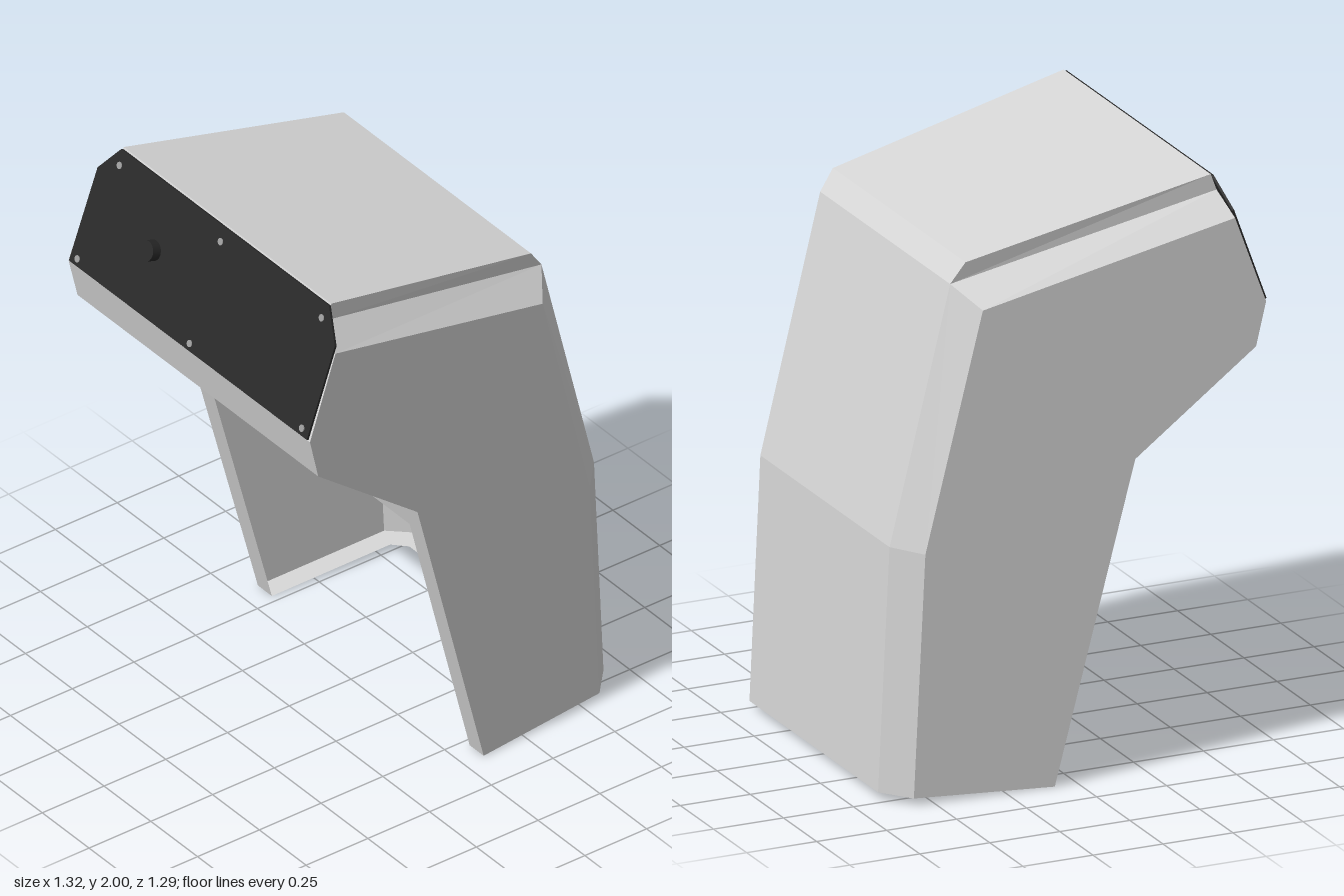
import * as THREE from 'three';

const shellGrey = new THREE.MeshStandardMaterial({ color: 0xd6d6d6, side: THREE.DoubleSide });
shellGrey.name = 'shell grey';
const panelBlack = new THREE.MeshStandardMaterial({ color: 0x282828 });
panelBlack.name = 'panel black';
const screwGrey = new THREE.MeshStandardMaterial({ color: 0x9c9c9c });
screwGrey.name = 'screw grey';

// The side walls taper towards +x
const sideZ = (x) => 0.608 - 0.057 * x;
const onSide = ([x, y], inset = 0) => [x, y, sideZ(x) - inset];
const flip = ([x, y, z]) => [x, y, -z];
const mirror = (poly) => poly.map(flip).reverse();
const band = (p, q) => [p, q, flip(q), flip(p)];
const pairs = (list, fn) => list.slice(1).map((q, i) => fn(list[i], q, i));
const bothSides = (polys) => polys.flatMap((p) => [p, mirror(p)]);

// Flat-shaded sheet from convex polygons
function facets(name, polys) {
  const pos = [];
  for (const p of polys) {
    for (let i = 1; i < p.length - 1; i++) pos.push(...p[0], ...p[i], ...p[i + 1]);
  }
  const g = new THREE.BufferGeometry();
  g.setAttribute('position', new THREE.Float32BufferAttribute(pos, 3));
  g.computeVertexNormals();
  const m = new THREE.Mesh(g, shellGrey);
  m.name = name;
  return m;
}

// Side wall: a 2D outline laid on the tapered side plane
function wall(name, outline, sign) {
  const g = new THREE.ShapeGeometry(new THREE.Shape(outline.map(([x, y]) => new THREE.Vector2(x, y))));
  const p = g.attributes.position;
  for (let i = 0; i < p.count; i++) p.setZ(i, sign * sideZ(p.getX(i)));
  if (sign < 0) g.index.array.reverse();
  g.computeVertexNormals();
  const m = new THREE.Mesh(g, shellGrey);
  m.name = name;
  return m;
}

export function createModel() {
  const model = new THREE.Group();

  // Cover ridge, and the upper edge of the side walls
  const spine = [[-0.5, 2, 0.555], [0.35, 1.81, 0.5], [0.4, 1.74, 0.49], [0.615, 0.87, 0.487], [0.655, 0.035, 0.485]];
  const shoulder = [[-0.52, 1.945, 0.557], ...spine.slice(2)];
  const edge2 = [[-0.547, 1.87], [0.33, 1.67], [0.53, 0.86], [0.57, 0.03]];
  const edge = edge2.map((p) => onSide(p));
  const foot = [0.08, 0.005], lip = [-0.174, 0.99], knee = [-0.2, 1.09], chin = [-0.62, 1.42], brow = [-0.655, 1.57];

  // Folded sheet-metal cover
  model.add(facets('coverPanels', pairs(spine, band)));
  model.add(facets('topStepWalls', bothSides([[shoulder[0], spine[2], spine[1], spine[0]]])));
  model.add(facets('coverChamfers', bothSides(
    pairs(edge, (a, b, i) => [a, b, shoulder[i + 1], shoulder[i]]))));

  const outline = [...edge2, foot, lip, knee, chin, brow];
  model.add(wall('leftSideWall', outline, 1));
  model.add(wall('rightSideWall', outline, -1));

  // Underside of the head, folded down into a short lip
  const under = [lip, knee, chin, brow].map((p) => onSide(p));
  model.add(facets('headUnderside', pairs(under, band)));

  // Backing behind the panel
  const browP = onSide(brow);
  const backHalf = [browP, edge[0], shoulder[0], spine[0]];
  model.add(facets('panelBacking', [[...backHalf, ...mirror(backHalf)]]));

  // Flanges turned inwards round the base and up the legs
  const F = 0.075;
  const footO = onSide(foot), footI = onSide(foot, F);
  const spineI = [0.58, 0.031, 0.454], edgeI = [0.539, 0.029, 0.502];
  model.add(facets('baseFlange', [
    band(spine[4], spineI),
    ...bothSides([
      [spine[4], edge[3], edgeI, spineI],
      [edge[3], footO, footI, edgeI],
    ]),
  ]));
  model.add(facets('legFlanges', bothSides([[footO, onSide(lip), onSide(lip, F), footI]])));

  // Tilted panel: local x = world z, local y = up the slope
  const panel = new THREE.Group();
  panel.name = 'backPanel';
  const up = new THREE.Vector3(0.155, 0.43, 0).normalize();
  const out = new THREE.Vector3(-up.y, up.x, 0);
  panel.applyMatrix4(new THREE.Matrix4().makeBasis(new THREE.Vector3(0, 0, 1), up, out));
  panel.position.set(-0.5775, 1.785, 0);
  const half = [[0.636, -0.224], [0.634, 0.115], [0.555, 0.222]];
  const hex = [...half, ...half.map(([x, y]) => [-x, y]).reverse()].map(([x, y]) => new THREE.Vector2(x, y));
  const plate = new THREE.Mesh(
    new THREE.ExtrudeGeometry(new THREE.Shape(hex), { depth: 0.008, bevelEnabled: false }), panelBlack);
  plate.name = 'panelPlate';
  panel.add(plate);

  const stud = (name, r, h, x, y, mat) => {
    const m = new THREE.Mesh(new THREE.CylinderGeometry(r, r, h, 20), mat);
    m.name = name;
    m.rotation.x = Math.PI / 2;
    m.position.set(x, y, 0.007 + h / 2);
    panel.add(m);
  };
  stud('knob', 0.035, 0.034, -0.28, -0.005, panelBlack);
  for (const s of [-1, 0, 1]) {
    stud('upperScrew', 0.012, 0.004, s * 0.54, 0.17, screwGrey);
    stud('lowerScrew', 0.012, 0.004, s * 0.6, -0.2, screwGrey);
  }
  model.add(panel);
  return model;
}
